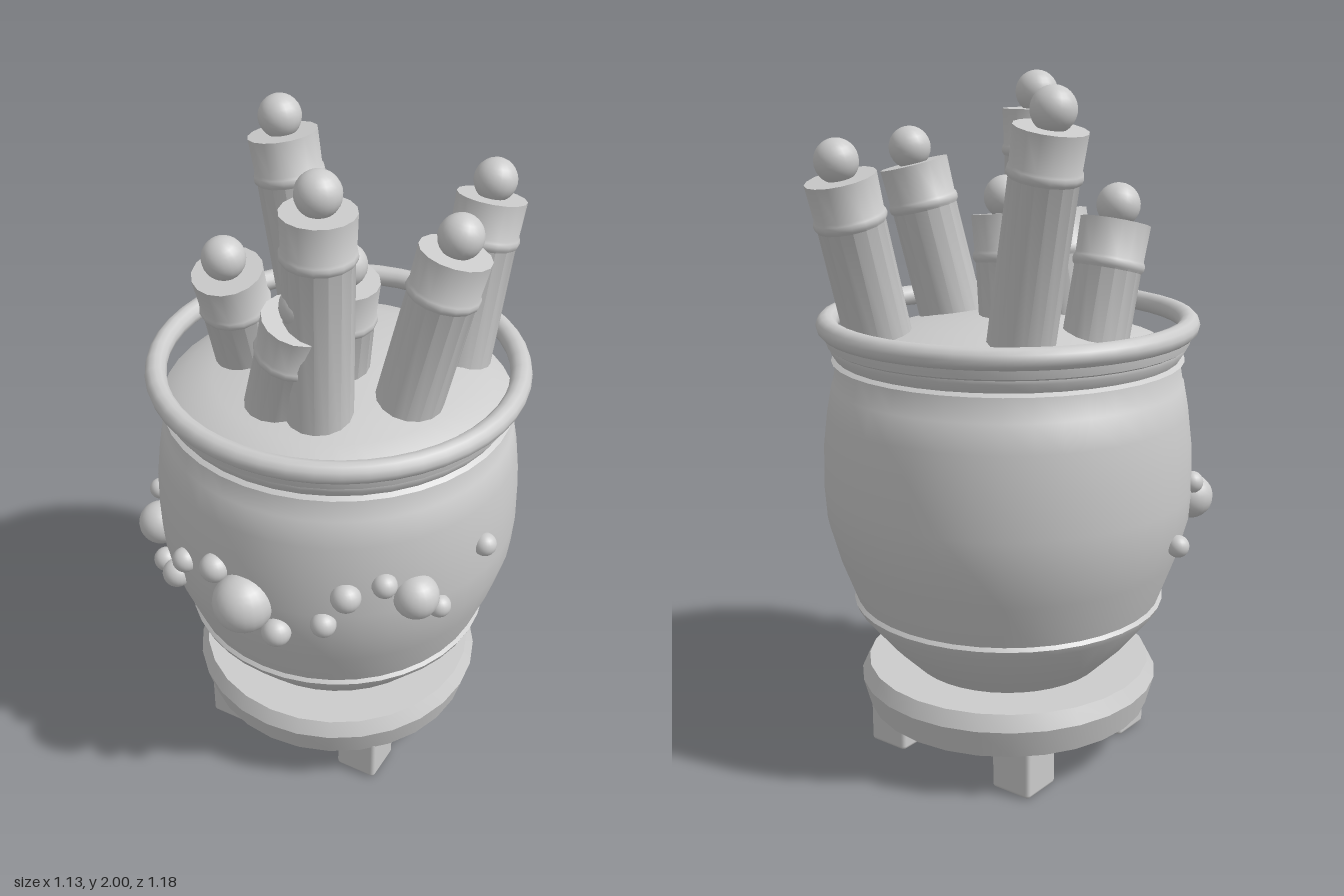
import * as THREE from 'three';
import { toCreasedNormals } from 'three/addons/utils/BufferGeometryUtils.js';
import { RoundedBoxGeometry } from 'three/addons/geometries/RoundedBoxGeometry.js';

const CENTRE_Z = -0.04;

export function createModel() {
  const model = new THREE.Group();
  model.name = 'potOfSticks';
  const clay = new THREE.MeshStandardMaterial({ color: 0xcccccc });
  clay.name = 'pale grey';

  function add(name, geometry, x = 0, y = 0, z = 0, parent = model) {
    const mesh = new THREE.Mesh(geometry, clay);
    mesh.name = name;
    mesh.position.set(x, y, z);
    parent.add(mesh);
    return mesh;
  }
  function lathe(profile, sides, crease) {
    const points = profile.map(([r, y]) => new THREE.Vector2(r, y));
    return toCreasedNormals(new THREE.LatheGeometry(points, sides), crease);
  }

  // Four short feet
  for (const x of [-0.235, 0.235]) {
    for (const z of [-0.275, 0.2]) {
      add('foot', new RoundedBoxGeometry(0.132, 0.17, 0.132, 2, 0.012), x, 0.085, z);
    }
  }

  // Flared foot plate
  add('basePlate', lathe([
    [0, 0.14], [0.425, 0.14], [0.448, 0.225], [0.425, 0.27], [0, 0.27],
  ], 28, 0.7), 0, 0, CENTRE_Z);

  // Pot body with its lower taper, shoulder step and flared neck
  add('potBody', lathe([
    [0.28, 0.26], [0.295, 0.275], [0.365, 0.345], [0.455, 0.455], [0.464, 0.475],
    [0.455, 0.485], [0.505, 0.62], [0.535, 0.73], [0.541, 0.82], [0.538, 0.95],
    [0.526, 1.05], [0.511, 1.13], [0.507, 1.135], [0.495, 1.205], [0.514, 1.235],
    [0.514, 1.245], [0.522, 1.25], [0.53, 1.285], [0.53, 1.3], [0.49, 1.3],
  ], 40, 0.6), 0, 0, CENTRE_Z);

  // Rolled rim
  const rim = add('rim', new THREE.TorusGeometry(0.519, 0.031, 12, 48), 0, 1.303, CENTRE_Z);
  rim.rotation.x = Math.PI / 2;

  // Domed filling inside the pot
  add('filling', lathe([
    [0.51, 1.2], [0.445, 1.245], [0.36, 1.272], [0.24, 1.298], [0.12, 1.314], [0, 1.32],
  ], 40, 0.7), 0, 0, CENTRE_Z);

  // String of beads around the front: x, y, radius
  const beads = [
    [-0.536, 0.705, 0.032], [-0.477, 0.84, 0.032], [-0.434, 0.772, 0.066], [-0.37, 0.705, 0.037],
    [-0.282, 0.74, 0.043], [-0.228, 0.835, 0.037], [-0.097, 0.893, 0.043], [0, 0.815, 0.088],
    [0.1, 0.74, 0.043], [0.228, 0.793, 0.037], [0.282, 0.893, 0.043], [0.367, 0.925, 0.036],
    [0.43, 0.862, 0.066], [0.473, 0.793, 0.034], [0.532, 0.925, 0.034],
  ];
  for (const [x, y, r] of beads) {
    const z = CENTRE_Z + Math.sqrt(0.543 ** 2 - x ** 2);
    add('bead', new THREE.SphereGeometry(r, 20, 14), x, y, z);
  }

  // Sticks with a collar, cap and ball: foot point, then ball centre
  const sticks = [
    [[-0.175, 1.28, -0.21], [-0.297, 1.91, -0.235]],
    [[-0.265, 1.28, 0.02], [-0.271, 1.638, 0.115]],
    [[0.066, 1.28, 0.188], [0.067, 1.938, 0.187]],
    [[0.005, 1.28, -0.012], [0.044, 1.65, 0.006]],
    [[-0.06, 1.28, 0.19], [0.037, 1.63, 0.22]],
    [[0.255, 1.28, -0.315], [0.276, 1.767, -0.438]],
    [[0.25, 1.28, 0.01], [0.345, 1.78, -0.062]],
  ];
  for (const [foot, ball] of sticks) {
    const top = new THREE.Vector3(...ball);
    const axis = top.clone().sub(new THREE.Vector3(...foot));
    const bottom = -axis.length() - 0.16;
    const stick = new THREE.Group();
    stick.name = 'stick';
    stick.position.copy(top);
    stick.quaternion.setFromUnitVectors(new THREE.Vector3(0, 1, 0), axis.normalize());
    add('stickShaft', lathe([
      [0, bottom], [0.096, bottom], [0.096, -0.182], [0.102, -0.175], [0.104, -0.165],
      [0.102, -0.155], [0.098, -0.148], [0.101, -0.047], [0, -0.047],
    ], 16, 0.7), 0, 0, 0, stick);
    add('stickBall', new THREE.SphereGeometry(0.062, 20, 14), 0, 0, 0, stick);
    model.add(stick);
  }

  return model;
}
